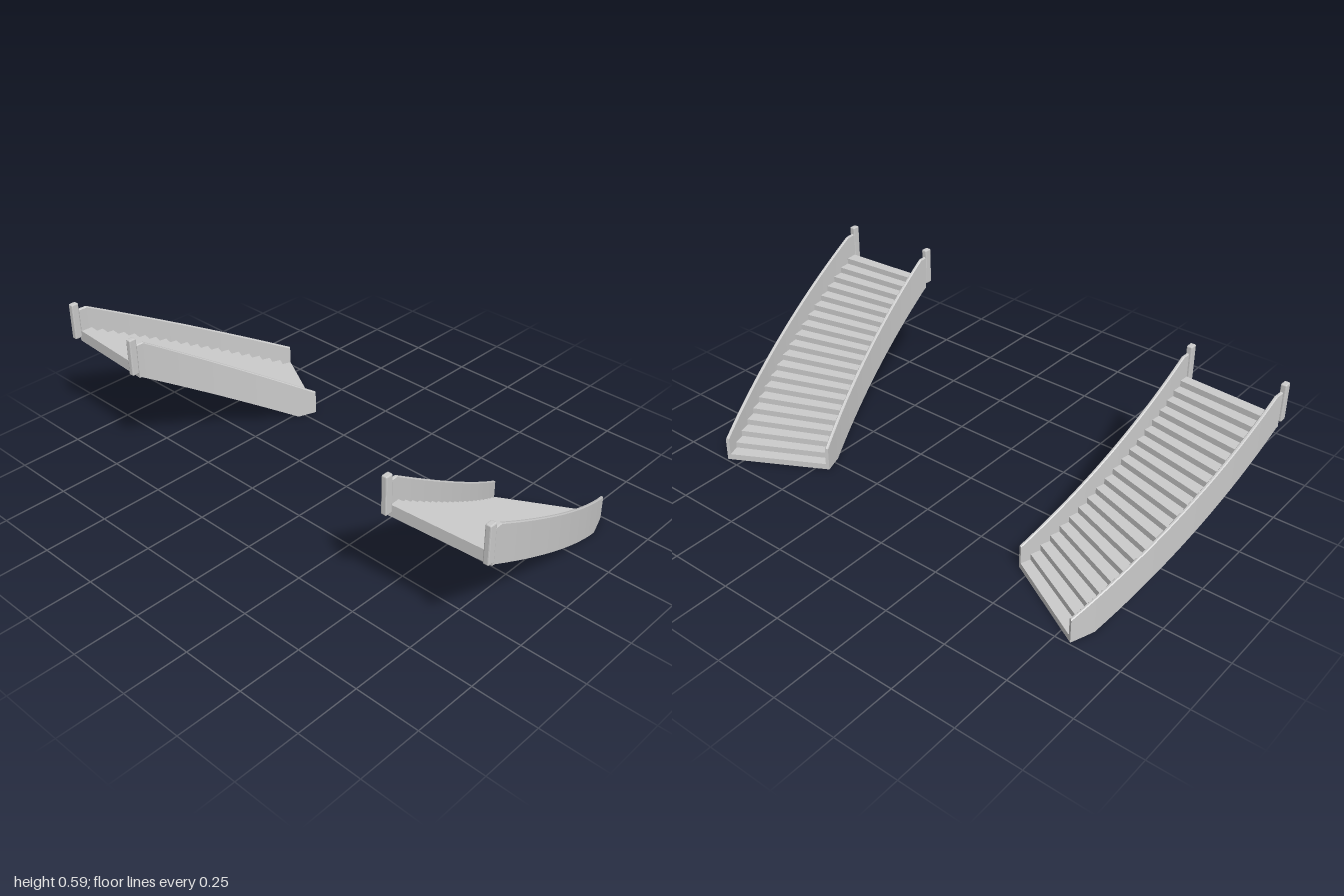
import * as THREE from 'three';
import { RoundedBoxGeometry } from 'three/addons/geometries/RoundedBoxGeometry.js';

const material = new THREE.MeshStandardMaterial({ color: 0xcccccc, flatShading: true });

// Both stairs follow elliptical arcs; u is the sine of the angle along the arc.
const CX = -1.098, CZ = 0.563, STRETCH = 1.217;
const R_IN = 1.7105, R_OUT = 2.086, HALF = 0.006;
const U_TOP = 0.0523, U_END = 0.4147, U_KINK = 0.379;
const STEPS = 20, LANDING = 0.47;

const onArc = (r, u, y, side) =>
  [side * (CX + r * Math.sqrt(1 - u * u)), y, CZ - STRETCH * r * u];

// Heights of the underside and of the stringer's upper edge
const under = (u) => Math.min(0.425, Math.max(0, 0.425 * (U_KINK - u) / (U_KINK - 0.0563)));
const upper = (u) => Math.min(0.562, 0.095 + 0.467 * (U_END - u) / (U_END - 0.066));

// Closed solid swept along the arc; ring(u) gives [radius, y] points counter-clockwise
function sweep(us, ring, side) {
  const rings = us.map((u) => ring(u).map(([r, y]) => onArc(r, u, y, side)));
  const n = rings[0].length, pos = [];
  const tri = (a, b, c) => pos.push(...a, ...(side > 0 ? b : c), ...(side > 0 ? c : b));
  for (let k = 0; k < rings.length - 1; k++) {
    const A = rings[k], B = rings[k + 1];
    for (let i = 0; i < n; i++) {
      const j = (i + 1) % n;
      tri(A[i], B[i], B[j]);
      tri(A[i], B[j], A[j]);
    }
  }
  const first = rings[0], last = rings[rings.length - 1];
  for (let i = 1; i < n - 1; i++) {
    tri(first[0], first[i], first[i + 1]);
    tri(last[0], last[i + 1], last[i]);
  }
  const g = new THREE.BufferGeometry();
  g.setAttribute('position', new THREE.Float32BufferAttribute(pos, 3));
  g.computeVertexNormals();
  return g;
}

function add(parent, geometry, name) {
  const mesh = new THREE.Mesh(geometry, material);
  mesh.name = name;
  parent.add(mesh);
  return mesh;
}

function createStair(side) {
  const stair = new THREE.Group();
  stair.name = side > 0 ? 'leftStair' : 'rightStair';

  // Steps: wedge blocks sharing one sloping underside
  const steps = new THREE.Group();
  steps.name = 'steps';
  stair.add(steps);
  const du = (U_END - U_TOP) / STEPS;
  for (let k = 0; k < STEPS; k++) {
    const u0 = U_TOP + k * du, u1 = u0 + du;
    const us = u0 < U_KINK && U_KINK < u1 ? [u0, U_KINK, u1] : [u0, u1];
    const y = LANDING * (1 - k / STEPS);
    const a = R_IN + HALF, b = R_OUT - HALF;
    add(steps, sweep(us, (u) => [[a, under(u)], [b, under(u)], [b, y], [a, y]], side), 'step');
  }

  // Curved side walls with a chamfered top edge
  const us = [U_TOP, 0.0563, 0.066, U_KINK];
  for (let k = 1; k <= STEPS; k++) us.push(0.066 + (U_END - 0.066) * k / STEPS);
  us.sort((a, b) => a - b);
  for (const [r, label] of [[R_IN, 'inner'], [R_OUT, 'outer']]) {
    const ring = (u) => {
      const b = under(u), t = upper(u);
      return [[r - HALF, b], [r + HALF, b], [r + HALF, t - 0.004],
        [r + HALF - 0.003, t], [r - HALF + 0.003, t], [r - HALF, t - 0.004]];
    };
    add(stair, sweep(us, ring, side), label + 'Stringer');

    // Newel post at the head of the wall
    const [x, , z] = onArc(r, U_TOP, 0, side);
    const post = add(stair, new RoundedBoxGeometry(0.022, 0.145, 0.03, 1, 0.004), label + 'Post');
    post.position.set(x + side * 0.003, 0.5175, z + 0.016);
  }
  return stair;
}

export function createModel() {
  const model = new THREE.Group();
  model.name = 'curvedStairs';
  for (const side of [1, -1]) model.add(createStair(side));
  return model;
}
